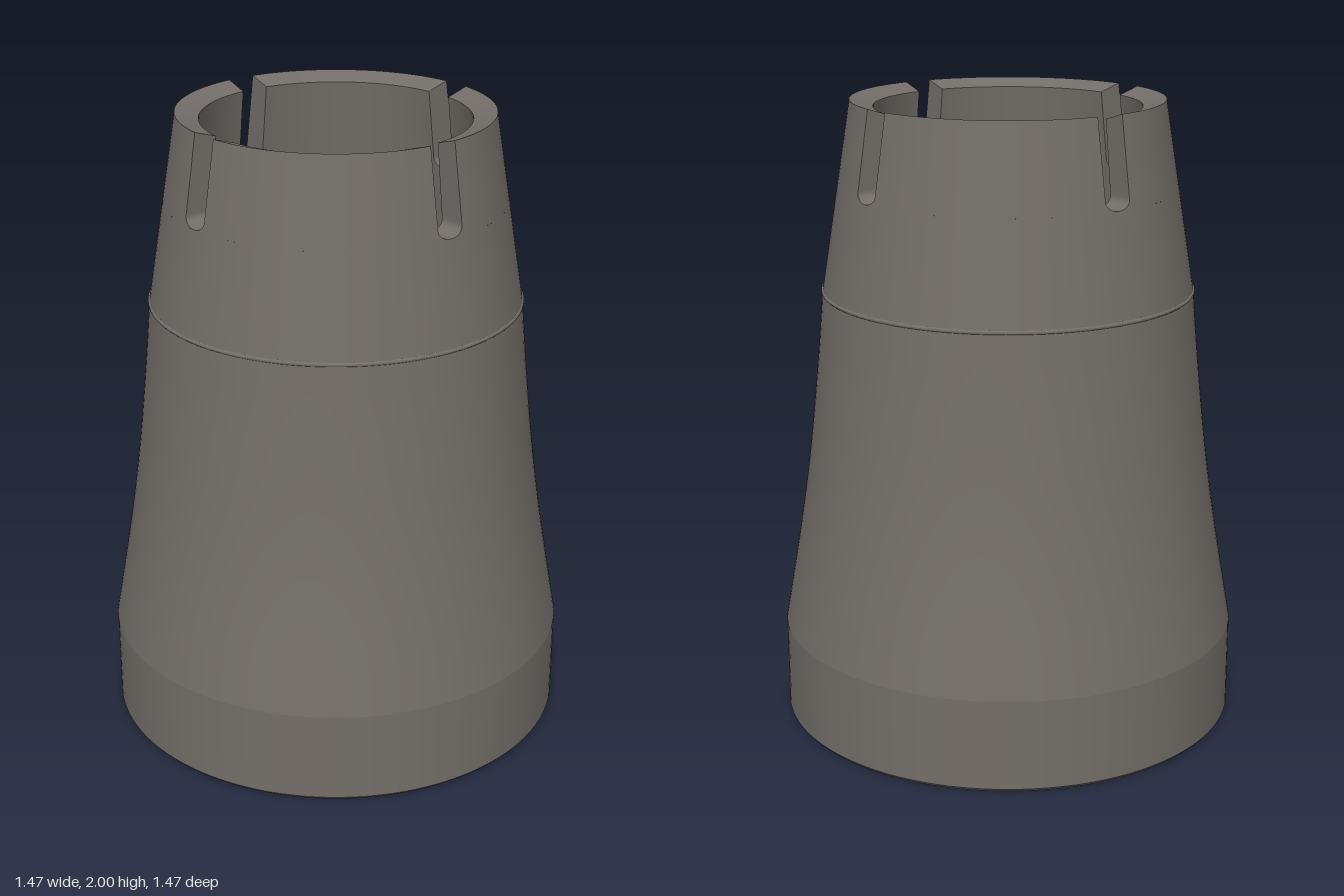
import * as THREE from 'three';

const SLOT_Y = 1.725, SLOT_HALF = 0.046, SLOT_ROUND = 0.03;
const RIM_OUTER_Y = 2, RIM_INNER_Y = 1.977;
const SLOT_ANGLE = THREE.MathUtils.degToRad(29.5);
const { lerp, mapLinear } = THREE.MathUtils;

// Wall radii: tapered collar outside, straight conical bore inside
const outerR = (y) => mapLinear(y, 1.406, RIM_OUTER_Y, 0.587, 0.491);
const innerR = (y) => mapLinear(y, 0, RIM_INNER_Y, 0.648, 0.418);

// Half width of a slot at height y, with a rounded bottom
function slotHalf(y) {
  const t = Math.max(0, (SLOT_Y + SLOT_ROUND - y) / SLOT_ROUND);
  return SLOT_HALF * Math.sqrt(Math.max(0, 1 - t * t));
}

// Smooth surface patch from a rule (u, v) -> point
function patch(rule, nu, nv) {
  const g = new THREE.PlaneGeometry(1, 1, nu, nv);
  const p = g.attributes.position, uv = g.attributes.uv;
  for (let i = 0; i < p.count; i++) p.setXYZ(i, ...rule(uv.getX(i), uv.getY(i)));
  g.computeVertexNormals();
  return g;
}

// Point on a finger: u runs from slot to slot, v up the wall, t from bore to outside
function fingerPoint(u, v, t) {
  const y = lerp(SLOT_Y, lerp(RIM_INNER_Y, RIM_OUTER_Y, t), v * v);
  const r = lerp(innerR(y), outerR(y), t);
  const edge = Math.asin(slotHalf(y) / r);
  const a = lerp(edge, Math.PI / 2 - edge, u);
  return [r * Math.sin(a), y, r * Math.cos(a)];
}

export function createModel() {
  const model = new THREE.Group();
  model.name = 'taperedSleeve';
  const grey = new THREE.MeshStandardMaterial({ color: 0x736e69 });
  grey.name = 'warm grey';

  const add = (parent, name, geometry) => {
    const mesh = new THREE.Mesh(geometry, grey);
    mesh.name = name;
    parent.add(mesh);
  };
  const vec = (pts) => pts.map(([x, y]) => new THREE.Vector2(x, y));
  const ring = (name, pts) => add(model, name, new THREE.LatheGeometry(vec(pts), 128));

  // Outer shell, from the foot up
  ring('footUnderside', [[0.648, 0], [0.727, 0]]);
  ring('footChamfer', [[0.727, 0], [0.735, 0.01]]);
  ring('footBand', [[0.735, 0.01], [0.735, 0.3]]);
  const skirt = new THREE.SplineCurve(
    vec([[0.735, 0.3], [0.679, 0.62], [0.641, 0.88], [0.609, 1.17], [0.589, 1.394]]));
  add(model, 'skirt', new THREE.LatheGeometry(skirt.getPoints(28), 128));
  ring('ridge', [[0.589, 1.394], [0.592, 1.397], [0.592, 1.403], [0.587, 1.406]]);
  ring('collar', [[0.587, 1.406], [outerR(SLOT_Y), SLOT_Y]]);

  // Conical bore, from the slots down
  ring('bore', [[innerR(SLOT_Y), SLOT_Y], [0.648, 0]]);

  const faces = {
    outerFace: patch((u, v) => fingerPoint(u, v, 1), 32, 28),
    innerFace: patch((u, v) => fingerPoint(1 - u, v, 0), 32, 28),
    slopedRim: patch((u, v) => fingerPoint(u, 1, 1 - v), 32, 1),
    slotWallStart: patch((u, v) => fingerPoint(0, v, u), 1, 28),
    slotWallEnd: patch((u, v) => fingerPoint(1, v, 1 - u), 1, 28),
  };

  // Four fingers separated by slots
  for (let i = 0; i < 4; i++) {
    const finger = new THREE.Group();
    finger.name = `finger${i + 1}`;
    finger.rotation.y = SLOT_ANGLE + (i * Math.PI) / 2;
    for (const [name, geometry] of Object.entries(faces)) add(finger, name, geometry);
    model.add(finger);
  }
  return model;
}
